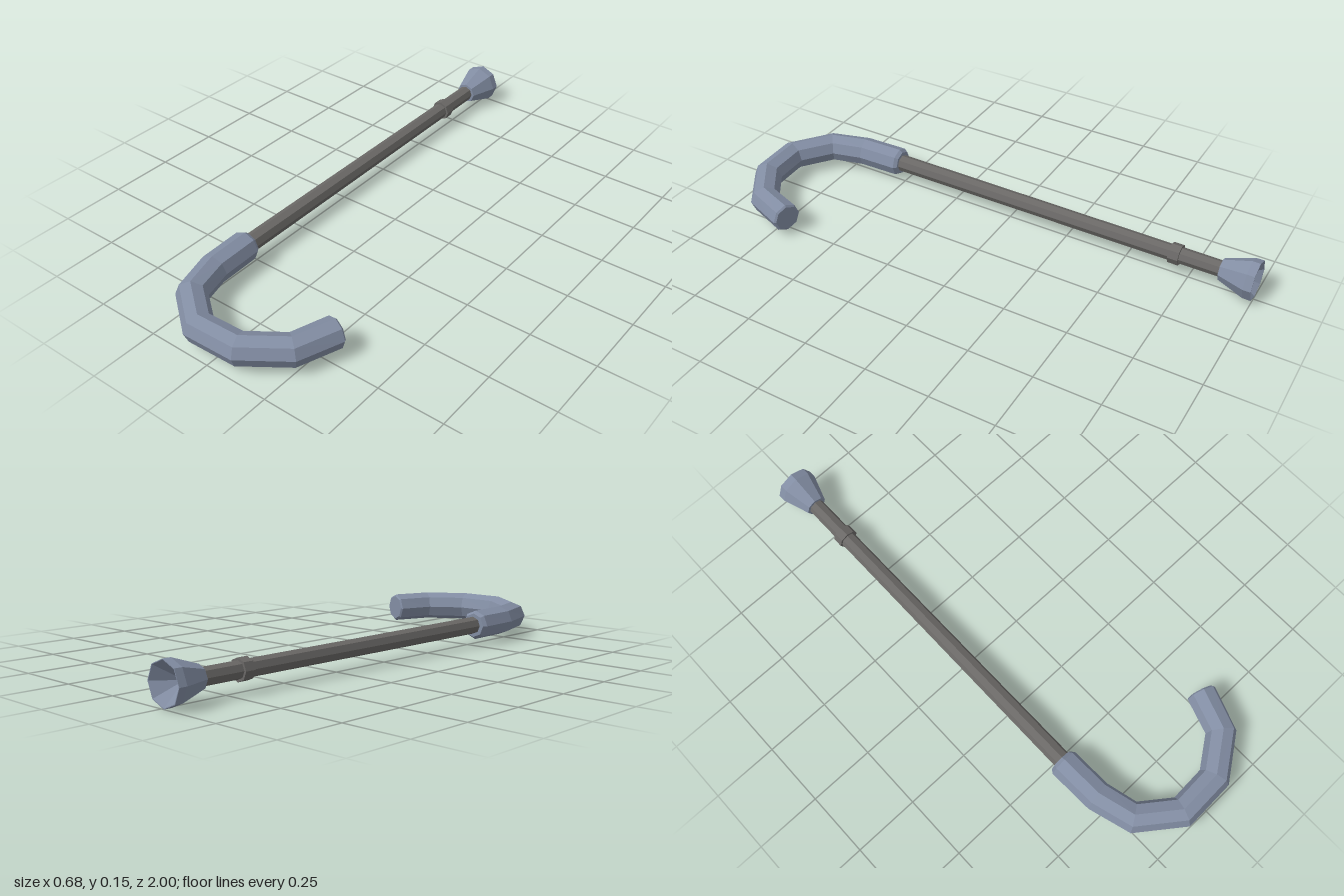
import * as THREE from 'three';

const AXIS_X = -0.262, AXIS_Y = 0.08, SIDES = 8;

const steel = new THREE.MeshStandardMaterial({ color: 0x828da3, flatShading: true });
steel.name = 'blue grey';
const wood = new THREE.MeshStandardMaterial({ color: 0x6a6866, flatShading: true });
wood.name = 'dark warm grey';

// Eight-sided turned part along z; profile is [radius, z] from back to front
function turned(name, profile, material) {
  const geometry = new THREE.LatheGeometry(profile.map(([r, z]) => new THREE.Vector2(r, z)), SIDES);
  geometry.rotateX(Math.PI / 2);
  const mesh = new THREE.Mesh(geometry, material);
  mesh.name = name;
  mesh.position.set(AXIS_X, AXIS_Y, 0);
  return mesh;
}

// Capped eight-sided tube along a flat path; stations are [x, z, radius]
function bentTube(name, stations, material) {
  const centres = stations.map(([x, z]) => new THREE.Vector3(x, AXIS_Y, z));
  const up = new THREE.Vector3(0, 1, 0);
  const positions = [], index = [];
  stations.forEach(([, , radius], i) => {
    const before = centres[Math.max(i - 1, 0)], after = centres[Math.min(i + 1, centres.length - 1)];
    const inward = centres[i].clone().sub(before).normalize();
    const outward = after.clone().sub(centres[i]).normalize();
    const side = new THREE.Vector3().crossVectors(up, inward.add(outward).normalize());
    for (let j = 0; j < SIDES; j++) {
      const a = (j / SIDES) * Math.PI * 2;
      const p = centres[i].clone()
        .addScaledVector(side, Math.cos(a) * radius)
        .addScaledVector(up, Math.sin(a) * radius);
      positions.push(p.x, p.y, p.z);
    }
  });
  const last = (stations.length - 1) * SIDES;
  for (let i = 0; i < last; i += SIDES) {
    for (let j = 0; j < SIDES; j++) {
      const a = i + j, b = i + ((j + 1) % SIDES);
      index.push(a, b, b + SIDES, a, b + SIDES, a + SIDES);
    }
  }
  // End caps
  for (let j = 1; j < SIDES - 1; j++) {
    index.push(0, j + 1, j, last, last + j, last + j + 1);
  }
  const geometry = new THREE.BufferGeometry();
  geometry.setAttribute('position', new THREE.Float32BufferAttribute(positions, 3));
  geometry.setIndex(index);
  geometry.computeVertexNormals();
  const mesh = new THREE.Mesh(geometry, material);
  mesh.name = name;
  return mesh;
}

export function createModel() {
  const cane = new THREE.Group();
  cane.name = 'cane';

  // Slightly tapered shaft and its collar
  cane.add(turned('shaft', [[0, -0.9], [0.031, -0.9], [0.034, 0.55], [0, 0.55]], wood));
  cane.add(turned('collar', [[0.03, -0.71], [0.04, -0.71], [0.04, -0.67], [0.03, -0.67]], wood));

  // Flared foot with a hollow end
  cane.add(turned('foot', [
    [0, -0.92], [0.074, -1], [0.077, -1], [0.077, -0.97], [0.042, -0.865], [0, -0.865],
  ], steel));

  // Hooked handle with a small bevel where it meets the shaft
  cane.add(bentTube('handle', [
    [-0.265, 0.518, 0.047], [-0.265, 0.532, 0.057], [-0.26, 0.70, 0.057], [-0.221, 0.84, 0.057],
    [-0.082, 0.944, 0.057], [0.09, 0.938, 0.057], [0.23, 0.84, 0.057], [0.284, 0.692, 0.057],
    [0.286, 0.686, 0.05],
  ], steel));

  return cane;
}
